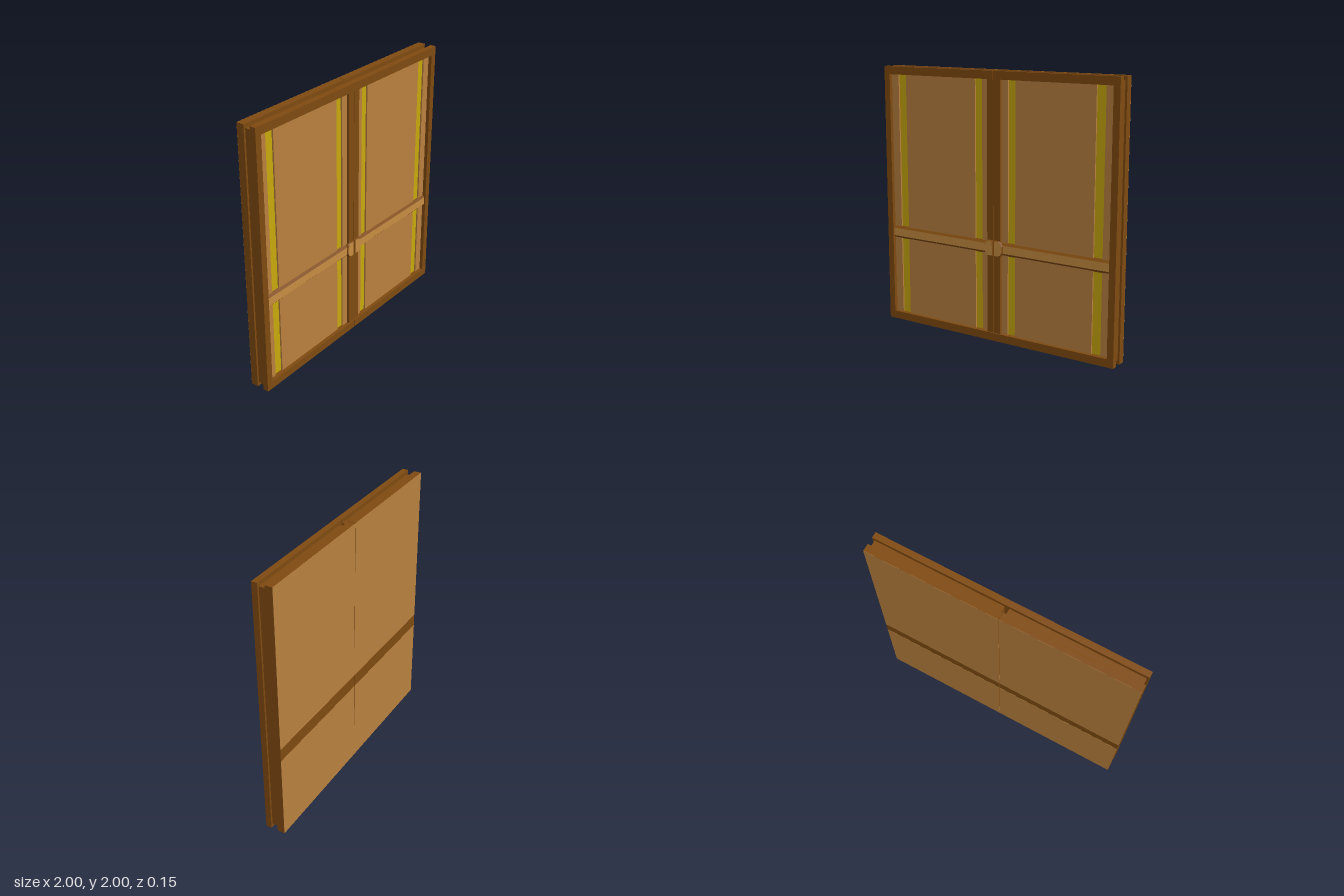
import * as THREE from 'three';

const mat = (color) => new THREE.MeshStandardMaterial({ color, flatShading: true });

export function createModel() {
  const wood = mat(0x7f4a10);
  const panelMat = mat(0xb8803e);
  const railMat = mat(0xc68c40);
  const yellow = mat(0xc8a80c);

  // box given by its limits on each axis
  const box = (parent, name, material, x0, x1, y0, y1, z0, z1) => {
    const mesh = new THREE.Mesh(new THREE.BoxGeometry(x1 - x0, y1 - y0, z1 - z0), material);
    mesh.position.set((x0 + x1) / 2, (y0 + y1) / 2, (z0 + z1) / 2);
    mesh.name = name;
    parent.add(mesh);
  };

  const outline = (points) => new THREE.Shape(points.map(([x, y]) => new THREE.Vector2(x, y)));
  const rect = (x0, x1, y0, y1) => outline([[x0, y0], [x1, y0], [x1, y1], [x0, y1]]);

  // flat piece with a light face and dark sloping edges
  const bevelled = (parent, name, shape, size, thickness, depth, front) => {
    const geometry = new THREE.ExtrudeGeometry(shape, {
      depth, bevelEnabled: true, bevelSegments: 1, bevelSize: size, bevelThickness: thickness,
    });
    geometry.translate(0, 0, front - depth - thickness);
    const mesh = new THREE.Mesh(geometry, [railMat, wood]);
    mesh.name = name;
    parent.add(mesh);
  };

  const model = new THREE.Group();
  model.name = 'doubleDoor';

  for (const side of [-1, 1]) {
    const door = new THREE.Group();
    door.name = side > 0 ? 'leftDoor' : 'rightDoor';
    // limits are given as distances from the middle seam
    const span = (a, b) => (side > 0 ? [a, b] : [-b, -a]);

    // back slab with light facing above and below a dark band
    box(door, 'backSlab', wood, ...span(0.002, 1), 0, 2, -0.076, -0.02);
    box(door, 'lowerBackFacing', panelMat, ...span(0.002, 1), 0, 0.66, -0.077, -0.076);
    box(door, 'upperBackFacing', panelMat, ...span(0.002, 1), 0.76, 2, -0.077, -0.076);

    // inset core
    box(door, 'core', wood, ...span(0.017, 0.985), 0.03, 1.97, -0.02, 0.033);

    // front frame
    box(door, 'outerStile', wood, ...span(0.95, 1), 0, 2, 0.033, 0.077);
    box(door, 'innerStile', wood, ...span(0.001, 0.057), 0.06, 1.94, 0.033, 0.068);
    box(door, 'bottomRail', wood, ...span(0.001, 0.95), 0, 0.06, 0.033, 0.077);
    box(door, 'topRail', wood, ...span(0.001, 0.95), 1.94, 2, 0.033, 0.077);

    // boards separated by yellow sunken strips
    for (const [a, b] of [[0.057, 0.112], [0.175, 0.813], [0.885, 0.95]]) {
      box(door, 'frontBoard', panelMat, ...span(a, b), 0.06, 1.94, 0.033, 0.05);
    }
    for (const [a, b] of [[0.112, 0.175], [0.813, 0.885]]) {
      box(door, 'sunkenStrip', yellow, ...span(a, b), 0.06, 1.94, 0.033, 0.038);
    }

    // bevelled cross rail
    bevelled(door, 'crossRail', rect(...span(0.04, 0.95), 0.68, 0.74), 0.02, 0.02, 0.001, 0.066);

    // half of the rounded handle plate
    const half = [[0.011, 0.655], [0.045, 0.655], [0.063, 0.667], [0.074, 0.69],
      [0.074, 0.73], [0.063, 0.753], [0.045, 0.765], [0.011, 0.765]];
    const points = half.map(([x, y]) => [x * side, y]);
    bevelled(door, 'handlePlate', outline(points), 0.006, 0.01, 0.02, 0.077);

    model.add(door);
  }
  return model;
}
